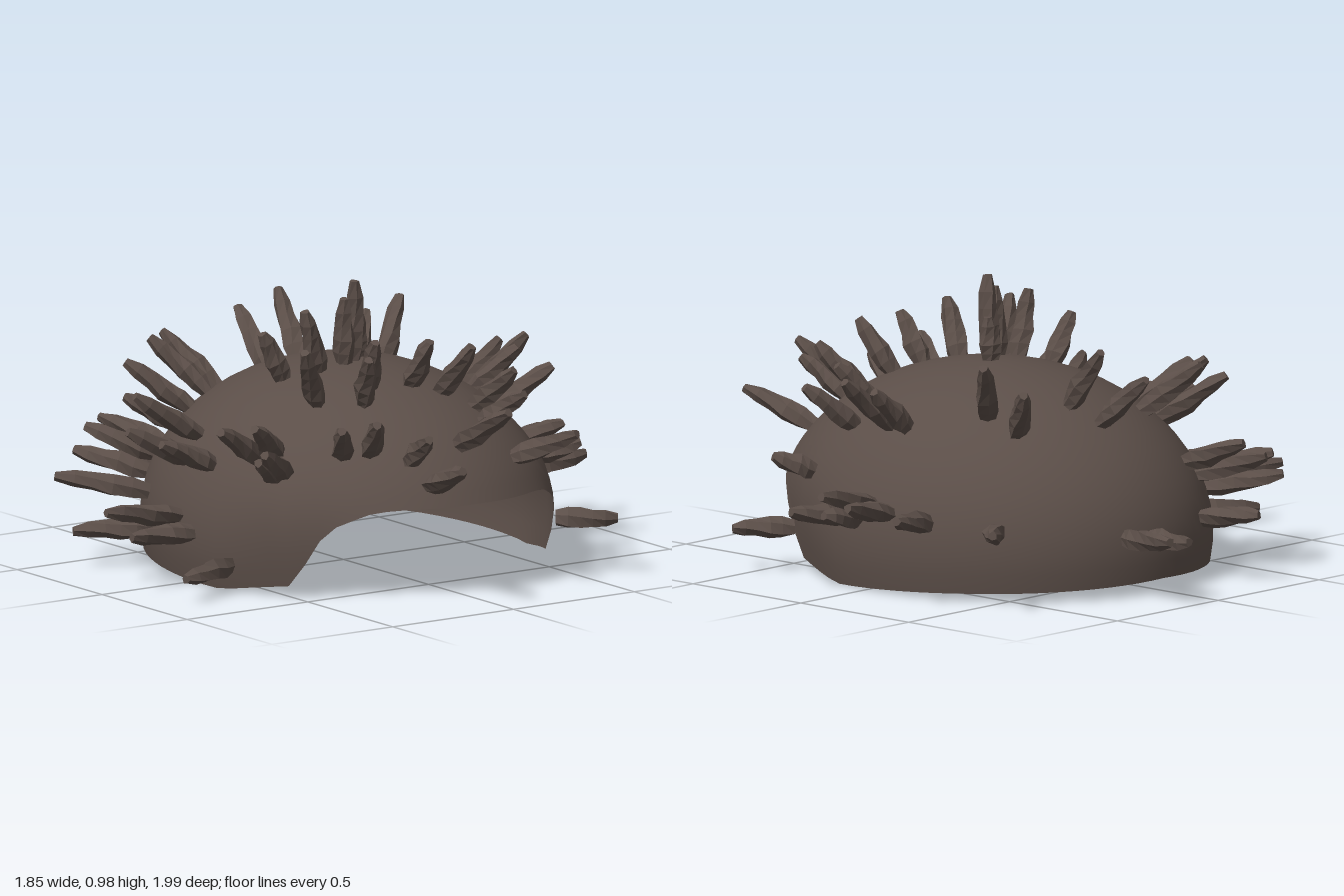
import * as THREE from 'three';

const CENTER = new THREE.Vector3(0.02, 0.13, 0);

// rim height by angle from the front, in degrees
const RIM = [[0, 0.325], [28, 0.32], [36, 0.305], [45, 0.26], [52, 0.19], [56, 0.1],
  [60, 0.04], [68, 0.025], [79, 0], [120, 0.025], [180, 0.05]];

function rimHeight(deg) {
  for (let i = 1; i < RIM.length; i++) {
    const [a0, y0] = RIM[i - 1], [a1, y1] = RIM[i];
    if (deg <= a1) return y0 + (y1 - y0) * (deg - a0) / (a1 - a0);
  }
  return RIM[RIM.length - 1][1];
}

// open domed cap: rings run from the crown down to the uneven rim
function capGeometry(cols = 72, rows = 16) {
  const pos = [CENTER.x, 0.705, 0], index = [];
  const id = (j, i) => (j === 0 ? 0 : 1 + (j - 1) * cols + (i % cols));
  for (let j = 1; j <= rows; j++) {
    for (let i = 0; i < cols; i++) {
      const deg = i * 360 / cols, phi = THREE.MathUtils.degToRad(deg);
      const end = Math.acos((rimHeight(deg > 180 ? 360 - deg : deg) - CENTER.y) / 0.575);
      const t = end * j / rows, c = Math.cos(phi);
      const y = CENTER.y + 0.575 * Math.cos(t);
      // the sides tuck in slightly towards the low front corners
      const tuck = 1 - 0.08 * THREE.MathUtils.smoothstep(c, 0.1, 0.6) * (1 - THREE.MathUtils.smoothstep(y, 0.05, 0.4));
      pos.push(CENTER.x + 0.67 * Math.sin(t) * Math.sin(phi) * tuck, y,
        (c > 0 ? 0.82 : 0.775) * Math.sin(t) * c);
    }
  }
  for (let j = 0; j < rows; j++) {
    for (let i = 0; i < cols; i++) {
      const a = id(j, i), b = id(j + 1, i), c = id(j + 1, i + 1), d = id(j, i + 1);
      index.push(a, b, c);
      if (j > 0) index.push(a, c, d);
    }
  }
  const g = new THREE.BufferGeometry();
  g.setAttribute('position', new THREE.Float32BufferAttribute(pos, 3));
  g.setIndex(index);
  g.computeVertexNormals();
  return g;
}

// knobbly tuft, base at y = 0 and tip at y = 1
function tuftGeometry() {
  const radii = [0.027, 0.037, 0.038, 0.031, 0.029, 0.016], sides = 6;
  const g = new THREE.CylinderGeometry(1, 1, 1, sides, radii.length - 1);
  g.translate(0, 0.5, 0);
  const p = g.attributes.position;
  for (let i = 0; i < p.count; i++) {
    const k = Math.round(p.getY(i) * (radii.length - 1));
    const len = Math.hypot(p.getX(i), p.getZ(i));
    const a = Math.atan2(p.getX(i), p.getZ(i));
    const side = Math.round(a / (Math.PI * 2 / sides) + sides) % sides;
    const r = len * radii[k] * (side % 2 ? 0.9 : 1.08);
    const twist = a + k * 0.2;
    p.setXYZ(i, r * Math.sin(twist) + 0.003 * Math.sin(k * 2.3), p.getY(i), r * Math.cos(twist));
  }
  const flat = g.toNonIndexed();
  flat.computeVertexNormals();
  return flat;
}

// tuft tips, grouped by region
const TIPS = {
  crownTuft: [[-0.01, 0.98, 0.08], [-0.07, 0.93, 0.1], [0.05, 0.85, 0.02], [-0.22, 0.9, 0.09], [-0.33, 0.82, -0.01],
    [0.14, 0.82, -0.59], [0.08, 0.74, -0.74]],
  frontTuft: [[-0.2, 0.5, 0.99], [0.05, 0.66, 0.9], [0.36, 0.54, 0.86], [-0.22, 0.58, 0.82], [-0.38, 0.64, 0.74],
    [-0.46, 0.61, 0.64], [-0.4, 0.82, 0.34], [-0.23, 0.8, 0.48], [-0.15, 0.84, 0.4], [0.06, 0.82, 0.42],
    [0.18, 0.8, 0.5], [0.3, 0.72, 0.58], [0.27, 0.66, 0.68]],
  leftTuft: [[0.91, 0.28, 0.13], [0.83, 0.27, 0.05], [0.92, 0.36, -0.02], [0.91, 0.33, -0.13], [0.9, 0.31, -0.35],
    [0.74, 0.28, -0.65], [0.75, 0.15, 0.55], [0.68, 0.4, 0.43], [0.64, 0.65, 0.32], [0.53, 0.72, 0.27],
    [0.7, 0.71, 0.08], [0.66, 0.68, -0.02], [0.47, 0.71, -0.54], [0.5, 0.79, -0.38]],
  rightTuft: [[-0.92, 0.26, -0.09], [-0.9, 0.19, 0.03], [-0.85, 0.08, 0.28], [-0.83, 0.13, -0.41], [-0.83, 0.3, -0.52],
    [-0.79, 0.51, -0.15], [-0.73, 0.62, -0.19], [-0.78, 0.5, 0.04], [-0.72, 0.58, 0.3], [-0.66, 0.52, 0.47],
    [-0.64, 0.48, 0.41], [-0.62, 0.59, 0.36]],
  backTuft: [[0.23, 0.23, -0.99], [0.11, 0.21, -0.97], [-0.3, 0.24, -0.91], [-0.34, 0.47, -0.8], [-0.44, 0.41, -0.81],
    [-0.59, 0.32, -0.75], [-0.55, 0.4, -0.74], [-0.5, 0.65, -0.57], [-0.4, 0.72, -0.57], [-0.31, 0.72, -0.63]],
};

export function createModel() {
  const model = new THREE.Group();
  const brown = new THREE.MeshStandardMaterial({ color: 0x5b4e48, side: THREE.DoubleSide });
  brown.name = 'dark brown';

  const cap = new THREE.Mesh(capGeometry(), brown);
  cap.name = 'cap';
  model.add(cap);

  // tufts point outwards from the middle of the cap, with roots at its surface
  const tuft = tuftGeometry(), up = new THREE.Vector3(0, 1, 0);
  for (const [name, tips] of Object.entries(TIPS)) {
    tips.forEach((tip, n) => {
      const end = new THREE.Vector3(...tip);
      const dir = end.clone().sub(CENTER);
      const reach = Math.hypot(dir.x / 0.67, dir.y / 0.575, dir.z / (dir.z > 0 ? 0.82 : 0.775));
      const root = CENTER.clone().addScaledVector(dir, 0.985 / reach);
      const mesh = new THREE.Mesh(tuft, brown);
      mesh.name = name + (n + 1);
      mesh.position.copy(root);
      mesh.quaternion.setFromUnitVectors(up, dir.normalize());
      mesh.rotateY(n * 1.7);
      mesh.scale.y = root.distanceTo(end);
      model.add(mesh);
    });
  }
  return model;
}
